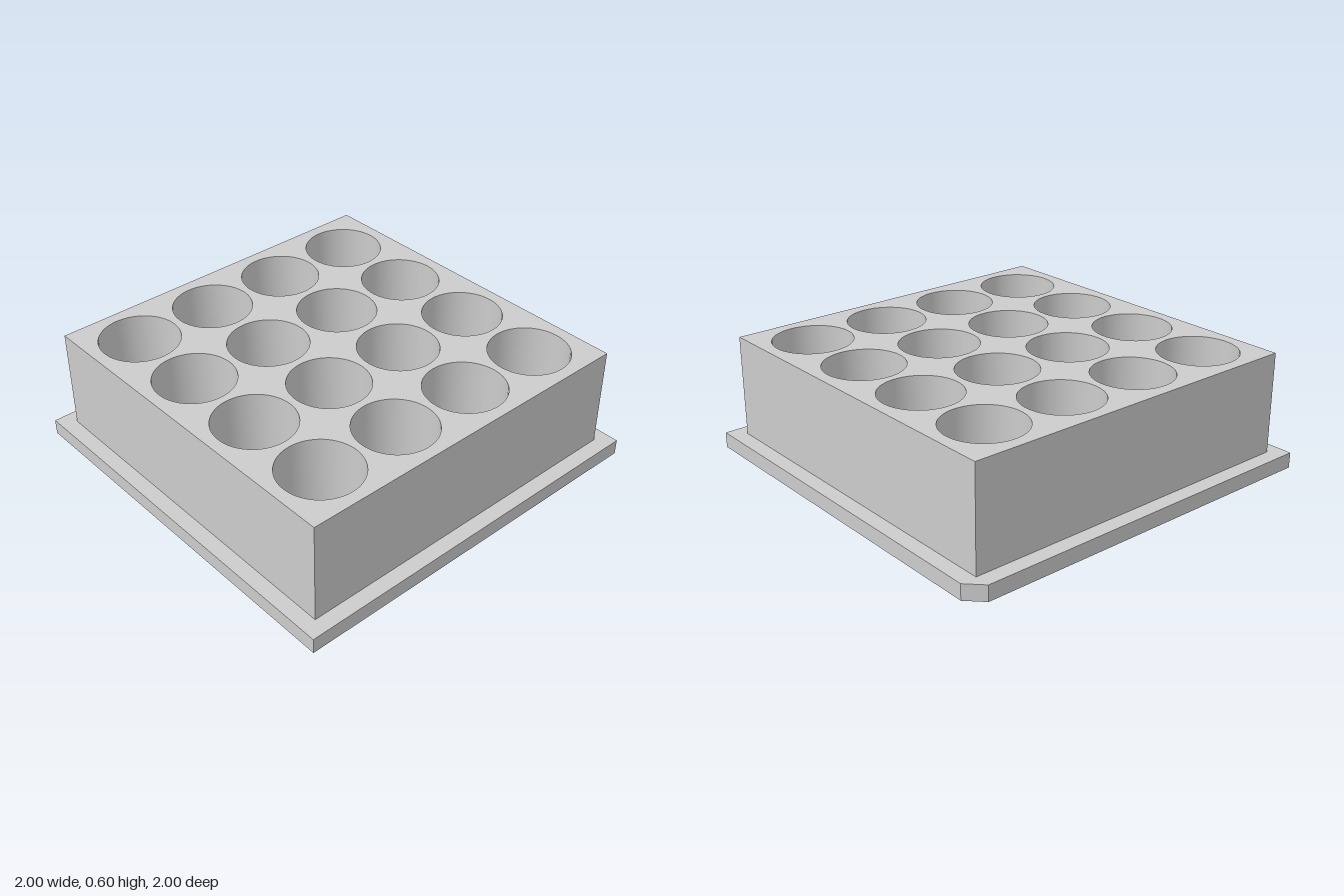
import * as THREE from 'three';
import { toCreasedNormals } from 'three/addons/utils/BufferGeometryUtils.js';

const BASE = 0.08, TOP = 0.6, WELL_FLOOR = 0.1, WELL_R = 0.2, PITCH = 0.44, SEG = 64;
const material = new THREE.MeshStandardMaterial({ color: 0xcccccc });

// Plan outlines are [x, -z], counter-clockwise seen from above
const square = (h) => [[-h, -h], [h, -h], [h, h], [-h, h]];

// Vertical walls along an outline; a reversed outline faces inward
function walls(outline, y0, y1) {
  const pos = [];
  outline.forEach(([ax, ay], i) => {
    const [bx, by] = outline[(i + 1) % outline.length];
    pos.push(ax, y0, -ay, bx, y0, -by, bx, y1, -by);
    pos.push(ax, y0, -ay, bx, y1, -by, ax, y1, -ay);
  });
  const g = new THREE.BufferGeometry();
  g.setAttribute('position', new THREE.Float32BufferAttribute(pos, 3));
  g.computeVertexNormals();
  return g;
}

// Flat face at height y with holes, facing up or down
function cap(outline, holes, y, up = true) {
  const toPoints = (pts) => pts.map(([a, b]) => new THREE.Vector2(a, up ? b : -b));
  const shape = new THREE.Shape(toPoints(outline));
  shape.holes = holes.map((h) => new THREE.Path(toPoints(h)));
  return new THREE.ShapeGeometry(shape).rotateX(up ? -Math.PI / 2 : Math.PI / 2).translate(0, y, 0);
}

export function createModel() {
  const model = new THREE.Group();
  model.name = 'wellPlate';
  const add = (name, geometry) => {
    const mesh = new THREE.Mesh(geometry, material);
    mesh.name = name;
    model.add(mesh);
    return mesh;
  };

  const flange = [[-1, -1], [1, -1], [1, 0.92], [0.92, 1], [-1, 1]];
  const block = square(0.92);
  const recess = square(0.9);

  // Base flange with one clipped corner
  add('flangeEdge', walls(flange, 0, BASE));
  add('flangeTop', cap(flange, [block], BASE));
  add('flangeUnderside', cap(flange, [recess], 0, false));

  // Shallow recess underneath
  add('recessWalls', walls([...recess].reverse(), 0, BASE));
  add('recessCeiling', cap(recess, [], BASE, false));

  // 4 x 4 wells, open at the top
  const wellGeometry = toCreasedNormals(new THREE.LatheGeometry([
    new THREE.Vector2(WELL_R, TOP),
    new THREE.Vector2(WELL_R, WELL_FLOOR),
    new THREE.Vector2(0, WELL_FLOOR),
  ], SEG), 0.6);
  const openings = [];
  for (let row = 0; row < 4; row++) {
    for (let col = 0; col < 4; col++) {
      const x = (col - 1.5) * PITCH, z = (row - 1.5) * PITCH;
      add(`well${row + 1}${col + 1}`, wellGeometry).position.set(x, 0, z);
      openings.push(Array.from({ length: SEG }, (_, i) => {
        const a = (i / SEG) * Math.PI * 2;
        return [x + WELL_R * Math.cos(a), -z + WELL_R * Math.sin(a)];
      }));
    }
  }

  // Main block
  add('blockWalls', walls(block, BASE, TOP));
  add('blockTop', cap(block, openings, TOP));

  return model;
}
